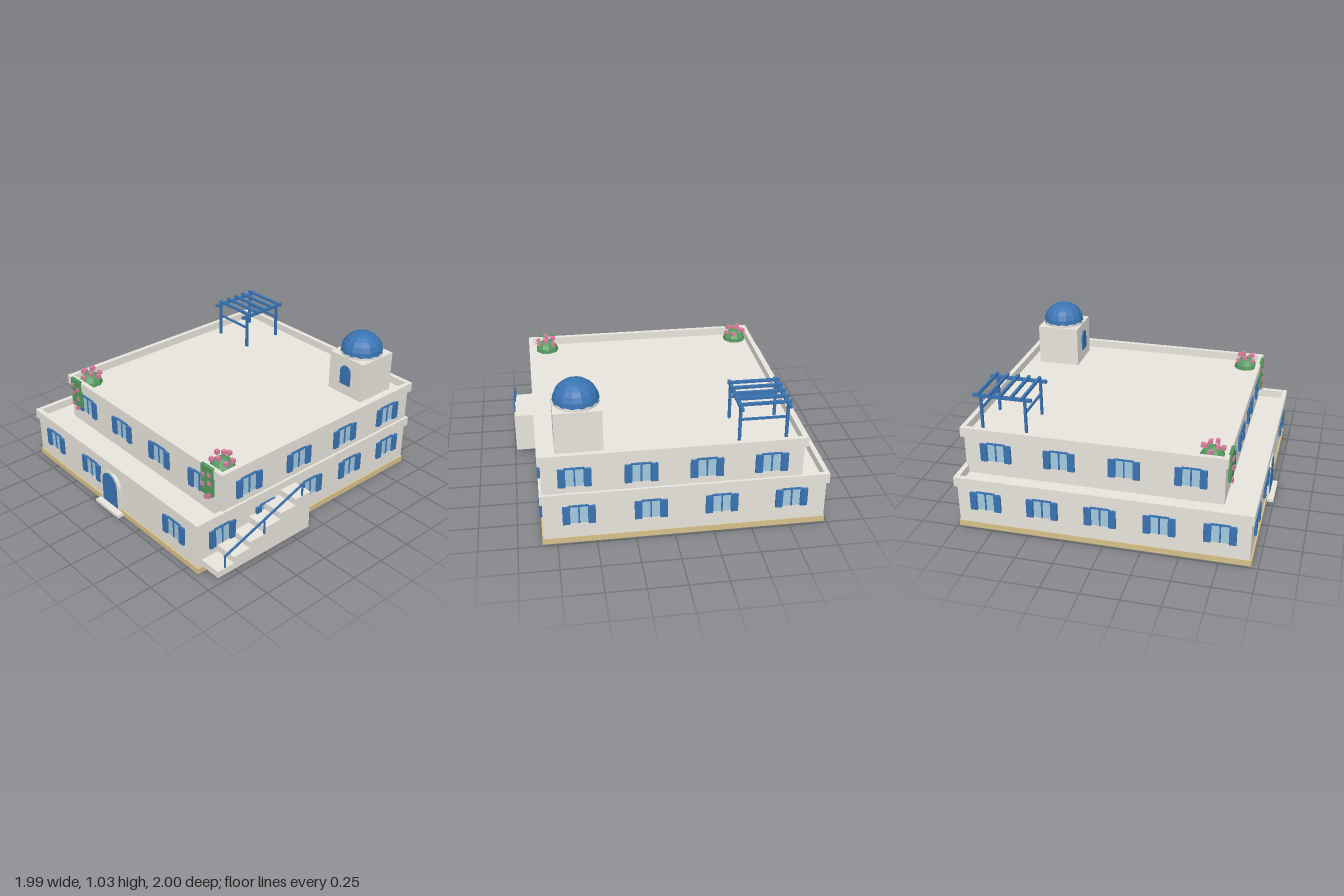
import * as THREE from 'three';

const mat = (name, color, opts = {}) => Object.assign(new THREE.MeshStandardMaterial({ color, ...opts }), { name });

export function createModel() {
  const plaster = mat('plaster', 0xe8e5dd);
  const blue = mat('blue paint', 0x3a74b4);
  const domeBlue = blue.clone();
  domeBlue.flatShading = true;
  const glass = mat('glass', 0xa3c9e0);
  const sand = mat('sand plinth', 0xd8c28a);
  const green = mat('leaves', 0x559a60);
  green.flatShading = true;
  const pink = mat('blossom', 0xdc7ea0);

  const model = new THREE.Group();
  model.name = 'house';

  const group = (name, parent = model) => {
    const g = new THREE.Group();
    g.name = name;
    parent.add(g);
    return g;
  };
  const add = (parent, name, geo, material, x = 0, y = 0, z = 0) => {
    const m = new THREE.Mesh(geo, material);
    m.name = name;
    m.position.set(x, y, z);
    parent.add(m);
    return m;
  };
  // box from its min and max corners
  const box = (parent, name, material, x0, x1, y0, y1, z0, z1) =>
    add(parent, name, new THREE.BoxGeometry(x1 - x0, y1 - y0, z1 - z0), material,
      (x0 + x1) / 2, (y0 + y1) / 2, (z0 + z1) / 2);

  // round-headed outline standing on y = y0
  const archPath = (P, r, y0, spring) => {
    const p = new P();
    p.moveTo(-r, y0);
    p.lineTo(r, y0);
    p.lineTo(r, spring);
    p.absarc(0, spring, r, 0, Math.PI, false);
    p.lineTo(-r, y0);
    return p;
  };
  const extrude = (shape, depth) =>
    new THREE.ExtrudeGeometry(shape, { depth, bevelEnabled: false, curveSegments: 12 });

  // hollow parapet band around a roof
  const parapet = (name, x0, x1, z0, z1, y0, y1, t) => {
    const rect = (P, a, b, c, d) => new P([[a, c], [b, c], [b, d], [a, d]].map(q => new THREE.Vector2(...q)));
    const s = rect(THREE.Shape, x0, x1, -z1, -z0);
    s.holes.push(rect(THREE.Path, x0 + t, x1 - t, -z1 + t, -z0 - t));
    add(model, name, extrude(s, y1 - y0), plaster, 0, y0, 0).rotation.x = -Math.PI / 2;
  };

  // storeys
  box(model, 'plinth', sand, -0.985, 0.845, 0, 0.04, -0.985, 0.955);
  box(model, 'lowerStorey', plaster, -0.98, 0.835, 0.04, 0.315, -0.98, 0.945);
  box(model, 'upperStorey', plaster, -0.815, 0.833, 0.31, 0.595, -0.98, 0.747);
  parapet('lowerParapet', -0.995, 0.85, -0.998, 0.96, 0.303, 0.37, 0.033);
  parapet('upperParapet', -0.833, 0.851, -1, 0.763, 0.585, 0.65, 0.033);

  // window with open shutters, facing +z before it is turned
  const makeWindow = (x, y, z, turn) => {
    const w = group('window');
    box(w, 'pane', glass, -0.06, 0.06, -0.062, 0.062, 0, 0.006);
    box(w, 'lintel', blue, -0.062, 0.062, 0.06, 0.069, 0, 0.012);
    box(w, 'mullion', blue, -0.005, 0.005, -0.062, 0.062, 0, 0.011);
    for (const s of [-1, 1]) {
      box(w, 'frame', blue, s * 0.06 - 0.004, s * 0.06 + 0.004, -0.062, 0.062, 0, 0.011);
      box(w, 'shutter', blue, s * 0.082 - 0.022, s * 0.082 + 0.022, -0.064, 0.062, 0.001, 0.018);
    }
    w.position.set(x, y, z);
    w.rotation.y = turn;
  };
  const windowRows = [
    { y: 0.209, x0: -0.98, x1: 0.835, z0: -0.98, z1: 0.945, side: 5, skip: 2 },
    { y: 0.484, x0: -0.815, x1: 0.833, z0: -0.98, z1: 0.747, side: 4, skip: -1 },
  ];
  for (const r of windowRows) {
    for (let i = 0; i < 4; i++) {
      const x = r.x0 + (r.x1 - r.x0) * (i + 0.5) / 4;
      if (i !== r.skip) makeWindow(x, r.y, r.z1, 0);
      makeWindow(x, r.y, r.z0, Math.PI);
    }
    for (let i = 0; i < r.side; i++) {
      const z = r.z0 + (r.z1 - r.z0) * (i + 0.5) / r.side;
      makeWindow(r.x1, r.y, z, Math.PI / 2);
      makeWindow(r.x0, r.y, z, -Math.PI / 2);
    }
  }

  // front door with arched surround and step
  const door = group('frontDoor');
  const surround = archPath(THREE.Shape, 0.109, 0.04, 0.19);
  surround.holes.push(archPath(THREE.Path, 0.08, 0.041, 0.198));
  add(door, 'doorSurround', extrude(surround, 0.02), plaster, 0, 0, 0.943);
  add(door, 'doorLeaf', extrude(archPath(THREE.Shape, 0.08, 0.04, 0.198), 0.025), blue, 0, 0, 0.943);
  box(door, 'doorStep', plaster, -0.13, 0.13, 0, 0.022, 0.94, 1);
  door.position.x = -0.073;

  // side stairs, one solid stepped profile
  const steps = 6, run = 0.13, rise = 0.0467;
  const profile = new THREE.Shape();
  profile.moveTo(0, 0.04);
  for (let i = 0; i < steps; i++) {
    profile.lineTo(i * run, 0.04 + (i + 1) * rise);
    profile.lineTo((i + 1) * run, 0.04 + (i + 1) * rise);
  }
  profile.lineTo(steps * run, 0.04);
  const stairs = group('stairs');
  add(stairs, 'stairFlight', extrude(profile, 0.155), plaster, 0.834, 0, 0.915).rotation.y = Math.PI / 2;

  // stair handrail
  for (const [z, y0, y1] of [[0.855, 0.087, 0.175], [0.53, 0.18, 0.295], [0.205, 0.32, 0.412]])
    box(stairs, 'railPost', blue, 0.979, 0.988, y0, y1, z - 0.005, z + 0.005);
  const rail = add(stairs, 'handrail', new THREE.BoxGeometry(0.01, 0.014, Math.hypot(0.66, 0.238)), blue, 0.984, 0.291, 0.53);
  rail.rotation.x = Math.atan2(0.238, 0.66);

  // roof tower with dome
  const tower = group('tower');
  box(tower, 'towerWalls', plaster, -0.15, 0.15, 0.59, 0.88, -0.15, 0.15);
  add(tower, 'drum', new THREE.CylinderGeometry(0.147, 0.147, 0.025, 14), plaster, 0, 0.888, 0);
  const dome = new THREE.SphereGeometry(0.147, 14, 6, 0, Math.PI * 2, 0, Math.PI / 2);
  dome.scale(1, 0.92, 1);
  add(tower, 'dome', dome, domeBlue, 0, 0.897, 0);
  add(tower, 'towerDoor', extrude(archPath(THREE.Shape, 0.045, 0.675, 0.775), 0.009), blue, 0, 0, 0.15);
  tower.position.set(0.587, 0, -0.742);

  // pergola
  const pergola = group('pergola');
  for (const x of [-0.72, -0.418]) {
    box(pergola, 'beam', blue, x - 0.011, x + 0.011, 0.832, 0.852, -0.937, -0.537);
    for (const z of [-0.885, -0.582])
      box(pergola, 'post', blue, x - 0.009, x + 0.009, 0.59, 0.84, z - 0.008, z + 0.008);
  }
  for (let i = 0; i < 5; i++) {
    const z = -0.893 + i * 0.0755;
    box(pergola, 'slat', blue, -0.739, -0.397, 0.85, 0.868, z - 0.009, z + 0.009);
  }
  for (const z of [-0.885, -0.582])
    box(pergola, 'crossRail', blue, -0.72, -0.418, 0.743, 0.757, z - 0.006, z + 0.006);

  // flowering bush on each front roof corner, with a vine over the parapet
  const vineBlossoms = [[0.03, 0.61], [-0.028, 0.59], [0.032, 0.55], [-0.03, 0.52], [0.032, 0.463], [-0.006, 0.437]];
  const flower = (parent, x, y, z) => add(parent, 'blossom', new THREE.BoxGeometry(0.026, 0.026, 0.026), pink, x, y, z);
  for (const s of [-1, 1]) {
    const plant = group('plant');
    const bush = new THREE.SphereGeometry(0.084, 9, 4, 0, Math.PI * 2, 0, Math.PI / 2);
    add(plant, 'bush', bush, green, 0, 0.59, 0.645);
    for (let i = 0; i < 7; i++) {
      const a = i * 0.9 + s * 0.4, r = i % 2 ? 0.05 : 0.068;
      flower(plant, r * Math.cos(a), i % 2 ? 0.685 : 0.66, 0.645 + r * Math.sin(a));
    }
    flower(plant, 0, 0.7, 0.63);
    box(plant, 'vine', green, -0.053, 0.053, 0.453, 0.66, 0.755, 0.777);
    for (const [x, y] of vineBlossoms) flower(plant, x * s, y, 0.771);
    plant.position.x = s * 0.718;
  }

  return model;
}
